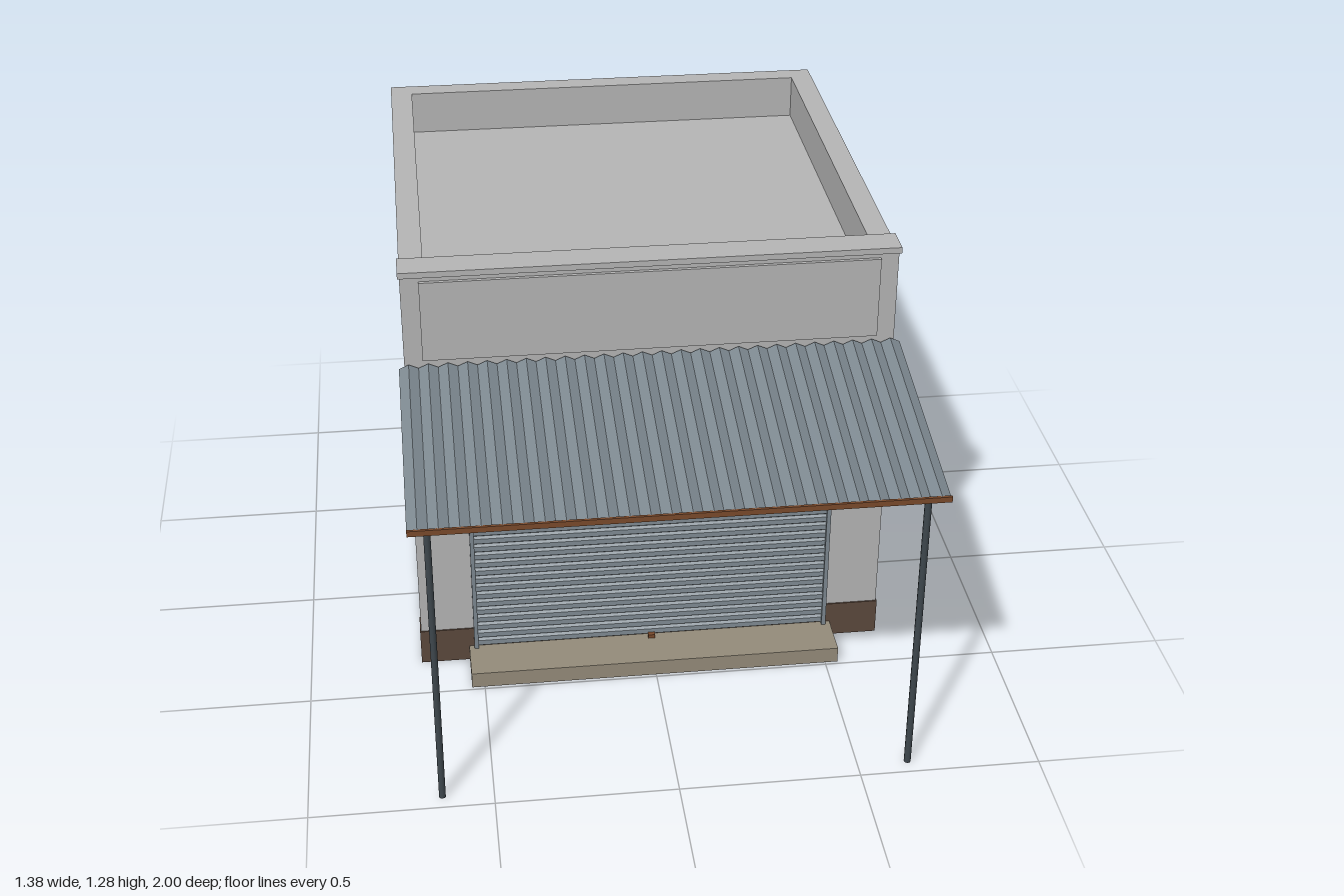
import * as THREE from 'three';

const mat = (name, color, side = THREE.FrontSide) =>
  Object.assign(new THREE.MeshStandardMaterial({ color, side }), { name });

// Flat-sided sheet: sweeps an open line of [x, y, z] points along an offset vector.
function sweepSheet(points, [ox, oy, oz]) {
  const pos = [];
  for (let i = 0; i < points.length - 1; i++) {
    const a = points[i], b = points[i + 1];
    const c = [b[0] + ox, b[1] + oy, b[2] + oz];
    const d = [a[0] + ox, a[1] + oy, a[2] + oz];
    pos.push(...a, ...d, ...c, ...a, ...c, ...b);
  }
  const g = new THREE.BufferGeometry();
  g.setAttribute('position', new THREE.Float32BufferAttribute(pos, 3));
  g.computeVertexNormals();
  return g;
}

export function createModel() {
  const concrete = mat('concrete', 0xb6b6b6);
  const plinthBrown = mat('plinth brown', 0x5c493d);
  const stone = mat('step stone', 0x958c7b);
  const steel = mat('galvanised steel', 0x7d8890);
  const sheet = mat('corrugated steel', 0x7d8890, THREE.DoubleSide);
  const darkSteel = mat('dark steel', 0x3e474d);
  const rust = mat('rusty trim', 0x7a4a2c);

  const model = new THREE.Group();
  model.name = 'shopUnit';

  const add = (name, geometry, material, parent = model) => {
    const mesh = new THREE.Mesh(geometry, material);
    mesh.name = name;
    parent.add(mesh);
    return mesh;
  };
  // Box given by its minimum and maximum on each axis.
  const box = (name, material, [x0, x1], [y0, y1], [z0, z1], parent = model) => {
    const mesh = add(name, new THREE.BoxGeometry(x1 - x0, y1 - y0, z1 - z0), material, parent);
    mesh.position.set((x0 + x1) / 2, (y0 + y1) / 2, (z0 + z1) / 2);
    return mesh;
  };
  const group = (name) => {
    const g = new THREE.Group();
    g.name = name;
    model.add(g);
    return g;
  };

  // Hollow building, open below, with a sunken roof behind the parapet
  const W = 0.675, H = 1.265, T = 0.065, BACK = -1, FRONT = 0.35;
  const building = group('building');
  for (const s of [-1, 1]) {
    const xs = [s * W, s * (W - T)].sort((a, b) => a - b);
    box('sideWall', concrete, xs, [0, H], [BACK, FRONT - T], building);
  }
  box('backWall', concrete, [-W + T, W - T], [0, H], [BACK, BACK + T], building);
  box('roof', concrete, [-W + T, W - T], [1.08, 1.135], [BACK + T, FRONT - T], building);

  // Front wall with the doorway cut out
  const front = new THREE.Shape();
  [[-W, 0.002], [-0.51, 0.002], [-0.51, 0.85], [0.51, 0.85], [0.51, 0.002], [W, 0.002], [W, H], [-W, H]]
    .forEach(([x, y], i) => (i ? front.lineTo(x, y) : front.moveTo(x, y)));
  add('frontWall', new THREE.ExtrudeGeometry(front, { depth: T, bevelEnabled: false }), concrete, building)
    .position.z = FRONT - T;

  box('parapetCap', concrete, [-0.68, 0.68], [H, 1.282], [0.27, 0.36]);
  box('signPanel', concrete, [-0.625, 0.625], [1.015, 1.25], [FRONT, 0.36]);
  box('plinth', plinthBrown, [-0.678, 0.678], [0, 0.11], [0.28, 0.354]);
  box('step', stone, [-0.537, 0.537], [0, 0.048], [0.354, 0.49]);

  // Roller shutter with ribbed slats, side rails, housing and a small lock
  const shutter = group('rollerShutter');
  const slats = 29, y0 = 0.05, pitch = 0.795 / slats;
  const ribs = [];
  for (let i = 0; i < slats; i++) {
    const y = y0 + i * pitch;
    ribs.push([-0.512, y, 0.356], [-0.512, y + 0.006, 0.364], [-0.512, y + 0.021, 0.363]);
  }
  ribs.push([-0.512, y0 + slats * pitch, 0.356]);
  add('slats', sweepSheet(ribs, [1.024, 0, 0]), sheet, shutter);
  for (const s of [-1, 1]) {
    const xs = [s * 0.51, s * 0.522].sort((a, b) => a - b);
    box('guideRail', steel, xs, [0.048, 0.85], [FRONT, 0.37], shutter);
  }
  box('shutterHousing', steel, [-0.522, 0.522], [0.848, 0.93], [FRONT, 0.43], shutter);
  box('shutterLock', rust, [-0.01, 0.01], [0.048, 0.06], [0.362, 0.378], shutter);

  // Sloping corrugated canopy on two posts
  const canopy = group('canopy');
  const folds = 52, wave = [];
  for (let i = 0; i <= folds; i++) {
    wave.push([-0.69 + (1.38 * i) / folds, 0.999 + (i % 2 ? 0.006 : -0.006), 0.358]);
  }
  add('canopySheet', sweepSheet(wave, [0, -0.113, 0.637]), sheet, canopy);
  box('canopyTrim', rust, [-0.69, 0.69], [0.875, 0.891], [0.992, 1], canopy);
  box('canopyBeam', darkSteel, [-0.675, 0.675], [0.854, 0.878], [0.946, 0.964], canopy);
  for (const s of [-1, 1]) {
    const post = add('canopyPost', new THREE.CylinderGeometry(0.0095, 0.0095, 0.87, 10), darkSteel, canopy);
    post.position.set(s * 0.64, 0.435, 0.955);
  }

  return model;
}
